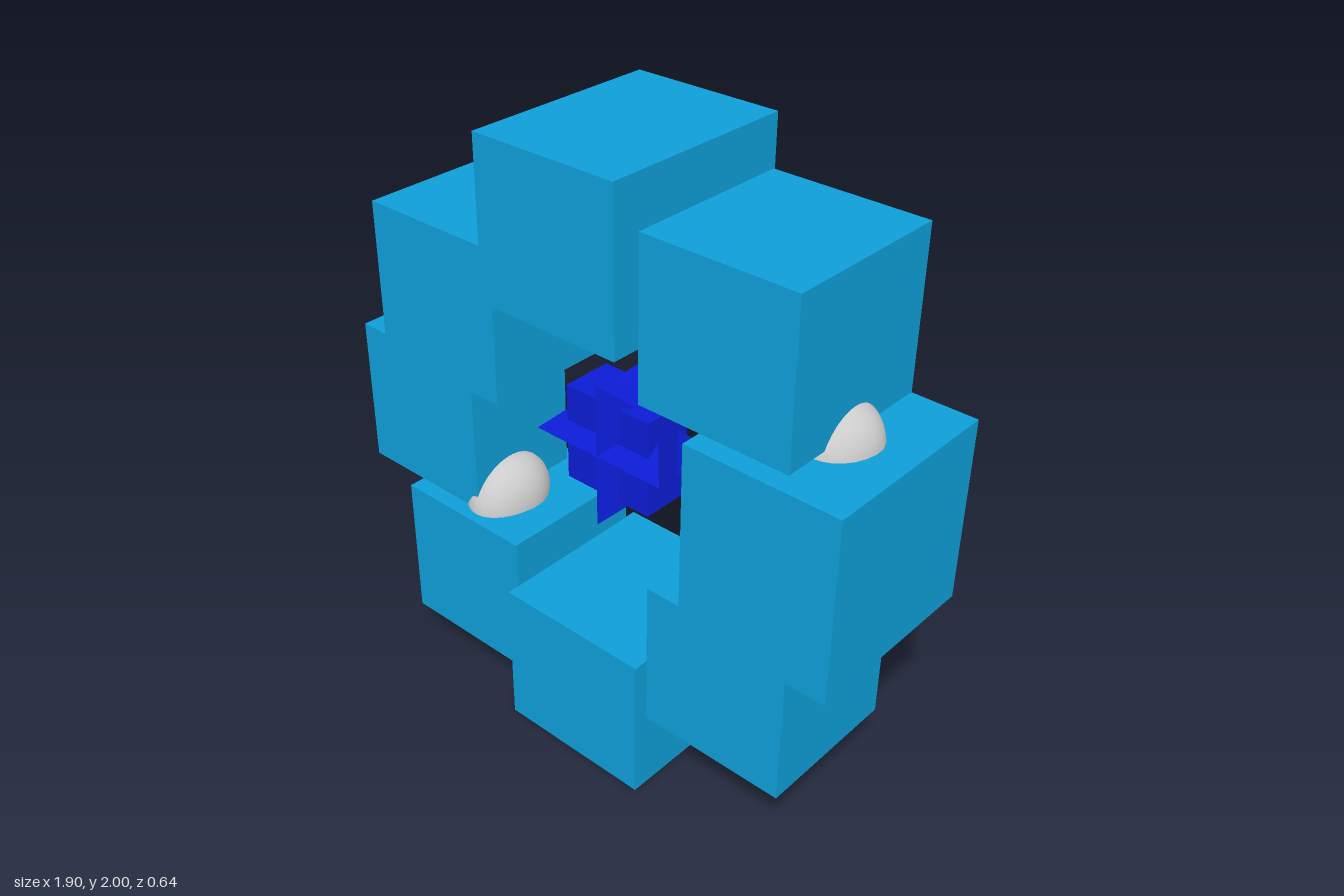
import * as THREE from 'three';

const sky = new THREE.MeshStandardMaterial({ color: 0x0e9fd8 });
const deepBlue = new THREE.MeshStandardMaterial({ color: 0x0c1cd4, flatShading: true });
const grey = new THREE.MeshStandardMaterial({ color: 0xcccccc });

export function createModel() {
  const model = new THREE.Group();
  const add = (name, geometry, material, parent = model) => {
    const mesh = new THREE.Mesh(geometry, material);
    mesh.name = name;
    parent.add(mesh);
    return mesh;
  };

  // Ring of blocks: x0, x1, y0, y1, half depth
  const blocks = {
    topBlock: [-0.25, 0.24, 1.51, 2.0, 0.32],
    upperLeftBlock: [0.275, 0.765, 1.375, 1.865, 0.267],
    leftBlock: [0.457, 0.95, 0.768, 1.35, 0.302],
    lowerLeftBlock: [0.293, 0.783, 0.275, 0.765, 0.245],
    bottomBlock: [-0.242, 0.29, 0, 0.492, 0.29],
    lowerRightBlock: [-0.73, -0.24, 0.16, 0.65, 0.25],
    rightBlock: [-0.95, -0.46, 0.655, 1.145, 0.2],
    upperRightBlock: [-0.75, -0.26, 1.158, 1.648, 0.276],
  };
  for (const [name, [x0, x1, y0, y1, d]] of Object.entries(blocks)) {
    add(name, new THREE.BoxGeometry(x1 - x0, y1 - y0, 2 * d), sky)
      .position.set((x0 + x1) / 2, (y0 + y1) / 2, 0);
  }

  // Rocks wedged between blocks: centre, radii, lean of the height along z
  const rock = (name, centre, [rx, ry, rz], lean) => {
    const g = new THREE.SphereGeometry(1, 24, 16);
    const p = g.attributes.position;
    for (let i = 0; i < p.count; i++) {
      const x = p.getX(i), y = p.getY(i), z = p.getZ(i);
      const bump = 1 + 0.03 * Math.sin(3 * x + 4 * z) * (1 - y * y);
      const flat = y < 0 ? 0.5 : 1;
      p.setXYZ(i, x * rx * bump, (y * ry + lean * z * rz) * flat, z * rz);
    }
    g.computeVertexNormals();
    add(name, g, grey).position.set(...centre);
  };
  rock('upperRightRock', [-0.31, 1.64, -0.03], [0.16, 0.165, 0.26], 0.35);
  rock('rightRock', [-0.74, 1.14, 0.005], [0.11, 0.11, 0.13], 0.5);
  rock('leftRock', [0.735, 1.33, 0.015], [0.115, 0.125, 0.128], -0.12);
  rock('lowerLeftRock', [0.32, 0.5, 0.005], [0.14, 0.16, 0.18], 0.25);
  rock('lowerRightRock', [-0.455, 0.65, 0.07], [0.112, 0.14, 0.15], -0.1);

  // Faceted star core: a square slab pierced by two crossed tetrahedra
  const core = new THREE.Group();
  core.name = 'starCore';
  core.position.set(-0.008, 1.02, 0);
  model.add(core);
  add('coreSlab', new THREE.BoxGeometry(0.32, 0.32, 0.17), deepBlue, core);
  for (let i = 0; i < 2; i++) {
    const g = new THREE.TetrahedronGeometry(Math.sqrt(3));
    g.rotateZ(Math.PI / 4 + i * Math.PI / 2);
    g.scale(0.17, 0.17, 0.13);
    add('coreSpikes', g, deepBlue, core);
  }
  return model;
}
